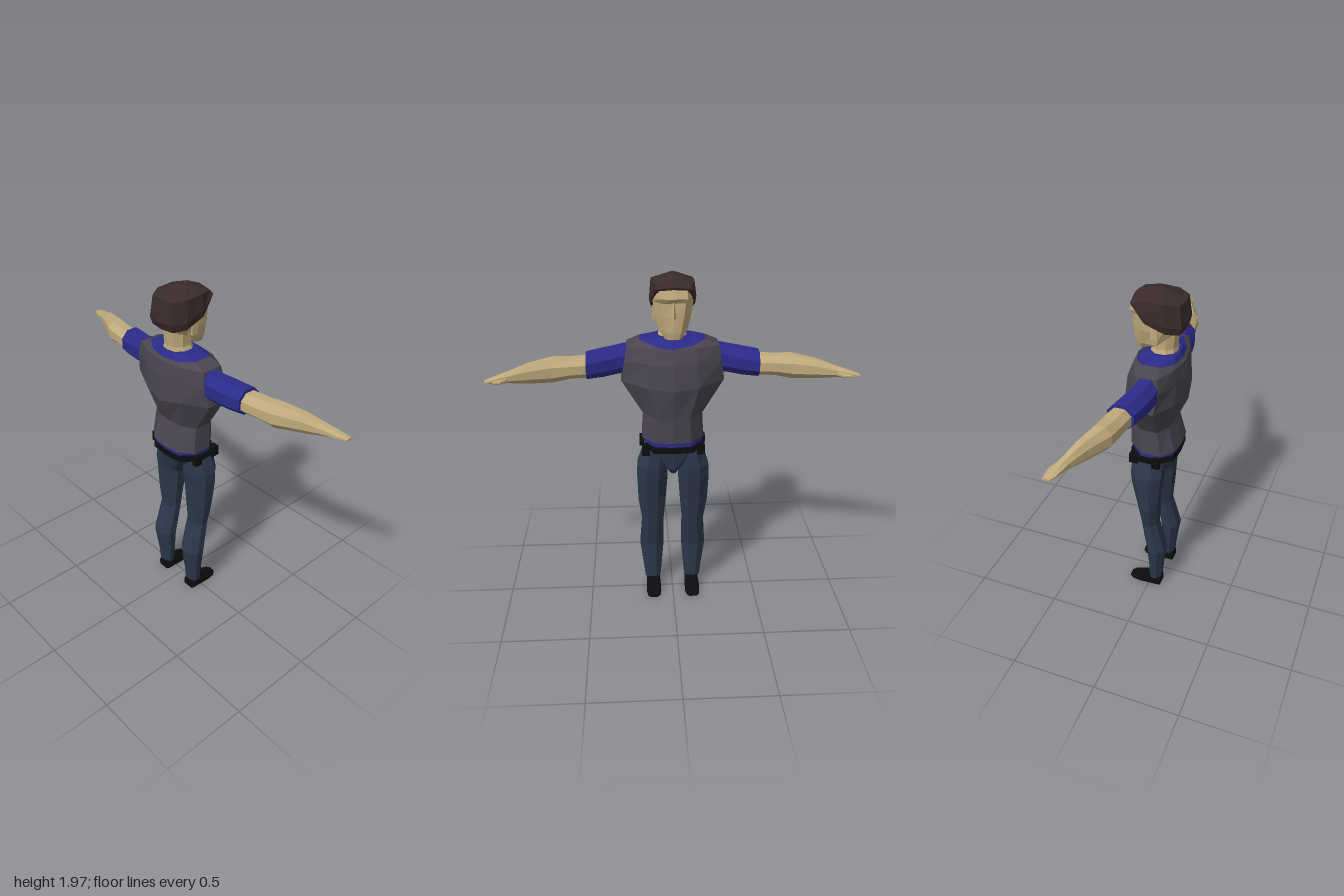
import * as THREE from 'three';

const mat = (name, color, side = THREE.FrontSide) => {
  const m = new THREE.MeshStandardMaterial({ color, flatShading: true, side });
  m.name = name;
  return m;
};

// Skin a list of closed rings of [x, y, z] points, with fan caps at both ends
function loft(rings) {
  const tris = [];
  const n = rings[0].length;
  const centre = r => [0, 1, 2].map(k => r.reduce((s, p) => s + p[k], 0) / n);
  const first = rings[0], last = rings[rings.length - 1];
  for (let j = 0; j < n; j++) {
    const k = (j + 1) % n;
    for (let i = 0; i < rings.length - 1; i++) {
      const a = rings[i], b = rings[i + 1];
      tris.push([a[j], a[k], b[k]], [a[j], b[k], b[j]]);
    }
    tris.push([centre(first), first[k], first[j]], [centre(last), last[j], last[k]]);
  }
  // turn faces outward whatever the ring direction
  const vol = tris.reduce((s, [a, b, c]) => s + a[0] * (b[1] * c[2] - b[2] * c[1])
    + a[1] * (b[2] * c[0] - b[0] * c[2]) + a[2] * (b[0] * c[1] - b[1] * c[0]), 0);
  if (vol < 0) tris.forEach(t => t.reverse());
  const g = new THREE.BufferGeometry();
  g.setAttribute('position', new THREE.Float32BufferAttribute(tris.flat(2), 3));
  g.computeVertexNormals();
  return g;
}

// Half outline from back centre to front centre, mirrored in x
const sym = half => half.concat(half.slice(1, -1).reverse().map(([x, y, z]) => [-x, y, z]));
const flat = (y, half) => sym(half.map(([x, z]) => [x, y, z]));
// Body section: half width, back z, front z
const oval = (y, w, zb, zf) => flat(y, [[0, zb], [w * 0.6, zb - 0.01], [w, zb * 0.6 + zf * 0.4 + 0.01],
  [w, zb * 0.3 + zf * 0.7], [w * 0.6, zf + 0.012], [0, zf]]);

// Bevelled limb sections across y (leg) or x (arm)
const corners = [[1, 0.4], [0.45, 1], [-0.45, 1], [-1, 0.4], [-1, -0.45], [-0.4, -1], [0.4, -1], [1, -0.45]];
const span = (a, b, t) => (a + b) / 2 + (b - a) / 2 * t;
const legRing = ([y, x0, x1, z0, z1]) => corners.map(([u, v]) => [span(x0, x1, u), y, span(z0, z1, v)]);
const armRing = ([x, y0, y1, z0, z1]) => corners.map(([u, v]) => [x, span(y0, y1, v), span(z0, z1, u)]);

export function createModel() {
  const root = new THREE.Group();
  root.name = 'standingMan';
  const skin = mat('skin', 0xc0aa7c), hair = mat('hair', 0x3a2a2b), vest = mat('vest grey', 0x4a4550);
  const blue = mat('shirt blue', 0x2b2b8a), denim = mat('trouser blue', 0x2c374a), black = mat('black', 0x0d0d0e);

  const add = (name, geo, material, parent = root) => {
    const m = new THREE.Mesh(geo, material);
    m.name = name;
    parent.add(m);
    return m;
  };
  const box = (name, material, x, y, z, w, h, d) =>
    add(name, new THREE.BoxGeometry(w, h, d), material).position.set(x, y, z);

  // Vest, with the shirt yoke above it
  const neckline = sym([[0, 1.595, 0.145], [0.1, 1.598, 0.13], [0.18, 1.612, 0.08],
    [0.18, 1.612, -0.02], [0.1, 1.59, -0.08], [0, 1.57, -0.1]]);
  add('vest', loft([
    flat(1.04, [[0, 0.148], [0.1, 0.138], [0.175, 0.08], [0.175, -0.03], [0.1, -0.12], [0, -0.132]]),
    flat(1.19, [[0, 0.108], [0.09, 0.1], [0.165, 0.06], [0.165, -0.04], [0.09, -0.125], [0, -0.137]]),
    sym([[0, 1.345, 0.178], [0.14, 1.375, 0.15], [0.285, 1.385, 0.08],
      [0.285, 1.385, -0.03], [0.14, 1.37, -0.135], [0, 1.36, -0.167]]),
    flat(1.5, [[0, 0.172], [0.13, 0.148], [0.265, 0.1], [0.265, -0.045], [0.13, -0.12], [0, -0.142]]),
    flat(1.58, [[0, 0.16], [0.13, 0.14], [0.252, 0.09], [0.252, -0.03], [0.13, -0.09], [0, -0.108]]),
    neckline]), vest);
  add('shirtCollar', loft([neckline,
    flat(1.628, [[0, 0.13], [0.05, 0.122], [0.095, 0.08], [0.095, 0.01], [0.05, -0.035], [0, -0.045]])]), blue);
  add('shirtHem', loft([oval(0.99, 0.163, 0.135, -0.12), oval(1.045, 0.166, 0.135, -0.12)]), blue);

  // Belt with pouches
  add('belt', loft([oval(0.975, 0.178, 0.142, -0.13), oval(1.01, 0.178, 0.142, -0.13)]), black);
  for (const s of [1, -1]) {
    box('beltPouch', black, s * 0.175, 0.987, 0.055, 0.03, 0.06, 0.045);
    box('beltPouch', black, s * 0.155, 0.987, -0.08, 0.045, 0.06, 0.05);
  }

  // Pelvis wedge
  add('pelvis', loft([oval(0.83, 0.025, 0.07, -0.085), oval(0.865, 0.05, 0.105, -0.108),
    oval(0.98, 0.162, 0.135, -0.118)]), denim);

  // Head, neck and face
  add('neck', loft([oval(1.6, 0.088, 0.12, -0.045), oval(1.65, 0.068, 0.112, -0.025),
    oval(1.78, 0.072, 0.125, -0.03)]), skin);
  add('head', loft([
    flat(1.635, [[0, -0.03], [0.025, -0.035], [0.045, -0.055], [0.045, -0.085], [0.03, -0.108], [0, -0.113]]),
    flat(1.675, [[0, 0.04], [0.05, 0.035], [0.083, 0.02], [0.075, -0.06], [0.04, -0.112], [0, -0.118]]),
    flat(1.76, [[0, 0.13], [0.07, 0.12], [0.102, 0.06], [0.1, -0.05], [0.055, -0.112], [0, -0.118]]),
    flat(1.83, [[0, 0.14], [0.08, 0.13], [0.108, 0.07], [0.107, -0.05], [0.065, -0.11], [0, -0.113]]),
    flat(1.855, [[0, 0.14], [0.08, 0.13], [0.108, 0.07], [0.11, -0.05], [0.075, -0.122], [0, -0.13]]),
    flat(1.915, [[0, 0.1], [0.06, 0.09], [0.09, 0.05], [0.095, -0.05], [0.07, -0.105], [0, -0.112]])]), skin);
  add('nose', loft([
    [[-0.018, 1.755, -0.11], [0, 1.75, -0.142], [0.018, 1.755, -0.11]],
    [[-0.008, 1.835, -0.108], [0, 1.835, -0.12], [0.008, 1.835, -0.108]]]), skin);
  for (const s of [1, -1]) box('ear', skin, s * 0.1, 1.755, 0.02, 0.02, 0.07, 0.04);

  // Hair cap with a hairline rising to the forehead
  add('hair', loft([
    sym([[0, 1.755, 0.155], [0.08, 1.757, 0.145], [0.112, 1.765, 0.08],
      [0.118, 1.81, -0.03], [0.098, 1.89, -0.105], [0, 1.905, -0.12]]),
    sym([[0, 1.8, 0.174], [0.085, 1.8, 0.158], [0.124, 1.81, 0.08],
      [0.124, 1.85, -0.03], [0.1, 1.905, -0.11], [0, 1.915, -0.124]]),
    sym([[0, 1.918, 0.155], [0.075, 1.915, 0.145], [0.114, 1.925, 0.08],
      [0.114, 1.93, -0.02], [0.088, 1.925, -0.1], [0, 1.935, -0.108]]),
    sym([[0, 1.968, 0.035], [0.02, 1.966, 0.03], [0.03, 1.964, 0.02],
      [0.03, 1.964, 0], [0.02, 1.966, -0.01], [0, 1.968, -0.015]])]), hair);

  // Limbs: sections are built for +x, then mirrored by flipping x
  const sleeve = [[0.23, 1.42, 1.58, -0.03, 0.1], [0.3, 1.415, 1.565, -0.04, 0.095],
    [0.38, 1.405, 1.555, -0.065, 0.08], [0.472, 1.402, 1.542, -0.088, 0.055]];
  const arm = [[0.46, 1.41, 1.525, -0.078, 0.043], [0.56, 1.41, 1.522, -0.092, 0.03],
    [0.65, 1.395, 1.528, -0.103, 0.015], [0.78, 1.405, 1.51, -0.13, -0.05], [0.88, 1.42, 1.48, -0.152, -0.094]];
  const hand = [[0.88, 1.42, 1.48, -0.152, -0.094], [0.925, 1.425, 1.468, -0.168, -0.107],
    [0.965, 1.43, 1.456, -0.175, -0.118], [1, 1.432, 1.445, -0.176, -0.138]];
  const thumb = [[0.885, 1.43, 1.458, -0.162, -0.135], [0.915, 1.428, 1.45, -0.182, -0.155],
    [0.955, 1.43, 1.445, -0.184, -0.168]];
  const leg = [[0.06, 0.075, 0.168, 0, 0.073], [0.15, 0.067, 0.178, -0.002, 0.08], [0.3, 0.055, 0.197, -0.01, 0.1],
    [0.4, 0.055, 0.19, -0.03, 0.075], [0.5, 0.055, 0.183, -0.047, 0.048], [0.64, 0.043, 0.203, -0.068, 0.058],
    [0.8, 0.032, 0.208, -0.1, 0.068], [0.87, 0.03, 0.205, -0.108, 0.078], [0.985, 0.04, 0.165, -0.1, 0.08]];
  // Shoe sections from heel to toe: z, half width, height
  const shoe = [[0.073, 0.034, 0.06], [0.06, 0.04, 0.07], [0, 0.042, 0.066], [-0.06, 0.045, 0.042],
    [-0.11, 0.038, 0.025], [-0.13, 0.022, 0.016]];
  const shoeRing = ([z, w, h]) => [[-w, 0], [w, 0], [w, h * 0.55], [w * 0.7, h], [-w * 0.7, h], [-w, h * 0.55]]
    .map(([x, y]) => [0.119 + x, y, z]);

  for (const [s, side] of [[1, 'left'], [-1, 'right']]) {
    const limb = (name, rings, material) =>
      add(side + name, loft(rings.map(r => r.map(([x, y, z]) => [s * x, y, z]))), material);
    limb('Sleeve', sleeve.map(armRing), blue);
    limb('Forearm', arm.map(armRing), skin);
    limb('Hand', hand.map(armRing), skin);
    limb('Thumb', thumb.map(armRing), skin);
    limb('TrouserLeg', leg.map(legRing), denim);
    limb('Shoe', shoe.map(shoeRing), black);
  }
  return root;
}
